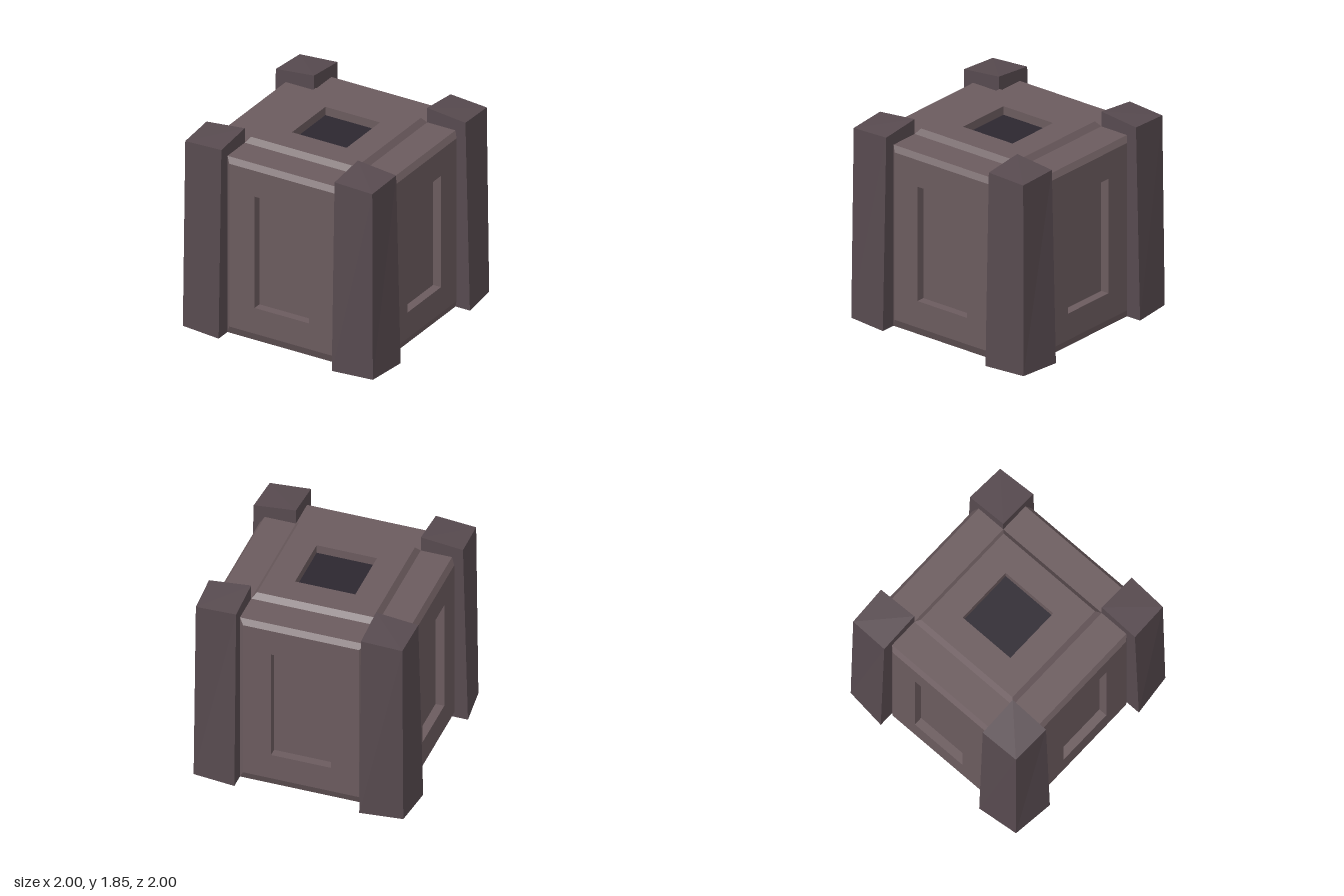
import * as THREE from 'three';

// Skin a stack of four-cornered loops with flat quads; cap either end on request.
function loft(loops, capStart, capEnd) {
  const pos = [];
  const quad = (a, b, c, d) => pos.push(...a, ...b, ...c, ...a, ...c, ...d);
  for (let k = 0; k < loops.length - 1; k++) {
    const a = loops[k], b = loops[k + 1];
    for (let i = 0; i < 4; i++) {
      const j = (i + 1) % 4;
      quad(a[i], a[j], b[j], b[i]);
    }
  }
  if (capStart) quad(...[...loops[0]].reverse());
  if (capEnd) quad(...loops[loops.length - 1]);
  const geo = new THREE.BufferGeometry();
  geo.setAttribute('position', new THREE.Float32BufferAttribute(pos, 3));
  geo.computeVertexNormals();
  return geo;
}

// Rectangle facing +z
const rect = (w, y0, y1, z) => [[-w, y0, z], [w, y0, z], [w, y1, z], [-w, y1, z]];

function mesh(name, geo, material) {
  const m = new THREE.Mesh(geo, material);
  m.name = name;
  return m;
}

export function createModel() {
  const group = new THREE.Group();
  group.name = 'crate';
  const mat = (color) => new THREE.MeshStandardMaterial({ color, flatShading: true });
  const panelMat = mat(0x6b5b5e);
  const postMat = mat(0x574a4f);
  const pocketMat = mat(0x2c2730);

  // Side panel: bevelled slab with a sunken rectangular pocket
  const sideGeo = loft([
    rect(0.57, 0, 1.71, 0.57),
    rect(0.57, 0, 1.71, 0.855),
    rect(0.53, 0.08, 1.66, 0.89),
    rect(0.275, 0.33, 1.41, 0.89),
    rect(0.275, 0.33, 1.41, 0.81),
  ], false, true);

  // Corner post: tapers upward, top slopes down towards the outer corner
  const postGeo = loft([
    [[0.57, 0, 0.57], [0.57, 0, 1], [0.957, 0, 0.957], [1, 0, 0.57]],
    [[0.57, 1.85, 0.57], [0.57, 1.81, 0.955], [0.942, 1.79, 0.942], [0.955, 1.81, 0.57]],
  ], true, true);

  ['front', 'left', 'back', 'right'].forEach((side, i) => {
    const panel = mesh(side + 'Panel', sideGeo, panelMat);
    const post = mesh('cornerPost' + (i + 1), postGeo, postMat);
    panel.rotation.y = post.rotation.y = i * Math.PI / 2;
    group.add(panel, post);
  });

  // Lid: raised bevelled square with a dark sunken pocket
  const square = (s, z) => rect(s, -s, s, z);
  const lid = mesh('lid', loft([
    square(0.57, 1.71), square(0.53, 1.76), square(0.275, 1.76), square(0.275, 1.68),
  ], false, false), panelMat);
  const floor = mesh('lidPocketFloor', loft([square(0.275, 1.68)], false, true), pocketMat);

  // Flat underside between the panels
  const base = mesh('base', loft([square(0.57, 0)], true, false), panelMat);

  for (const part of [lid, floor, base]) {
    part.rotation.x = -Math.PI / 2;
    group.add(part);
  }
  return group;
}
